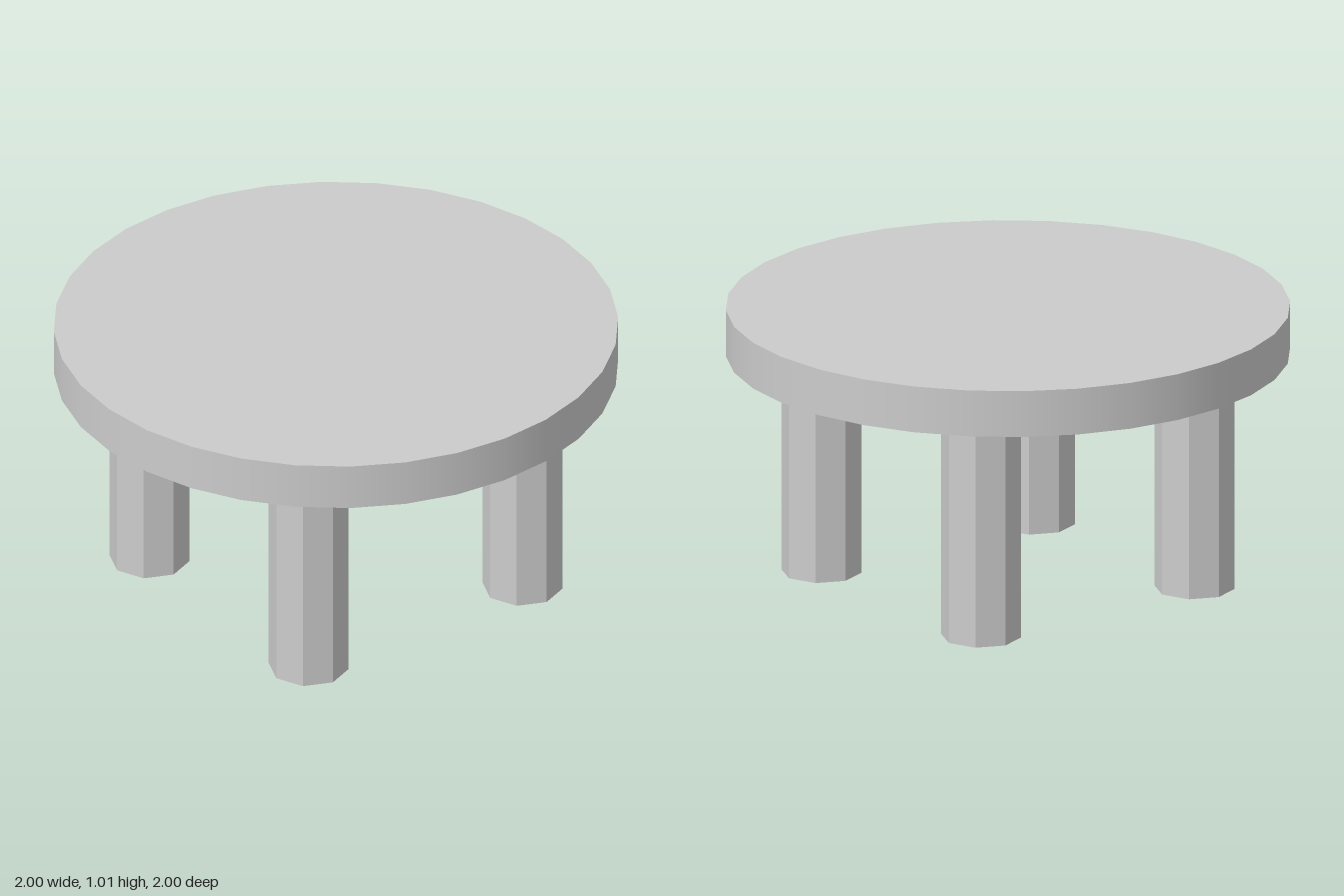
import * as THREE from 'three';

const LEG_HEIGHT = 0.845;
const TOP_THICKNESS = 0.17;
const LEG_RADIUS = 0.143;
const LEG_OFFSET = 0.667;

export function createModel() {
  const table = new THREE.Group();
  table.name = 'roundTable';

  // Round table top
  const top = new THREE.Mesh(
    new THREE.CylinderGeometry(1, 1, TOP_THICKNESS, 32),
    new THREE.MeshStandardMaterial({ color: 0xcccccc })
  );
  top.name = 'tableTop';
  top.position.y = LEG_HEIGHT + TOP_THICKNESS / 2;
  table.add(top);

  // Four octagonal legs, one on each axis
  const legGeometry = new THREE.CylinderGeometry(LEG_RADIUS, LEG_RADIUS, LEG_HEIGHT, 8);
  const legMaterial = new THREE.MeshStandardMaterial({ color: 0xcccccc, flatShading: true });
  const legs = [
    ['frontLeg', 0, 1],
    ['backLeg', 0, -1],
    ['leftLeg', 1, 0],
    ['rightLeg', -1, 0],
  ];
  for (const [name, x, z] of legs) {
    const leg = new THREE.Mesh(legGeometry, legMaterial);
    leg.name = name;
    leg.position.set(x * LEG_OFFSET, LEG_HEIGHT / 2, z * LEG_OFFSET);
    table.add(leg);
  }

  return table;
}
